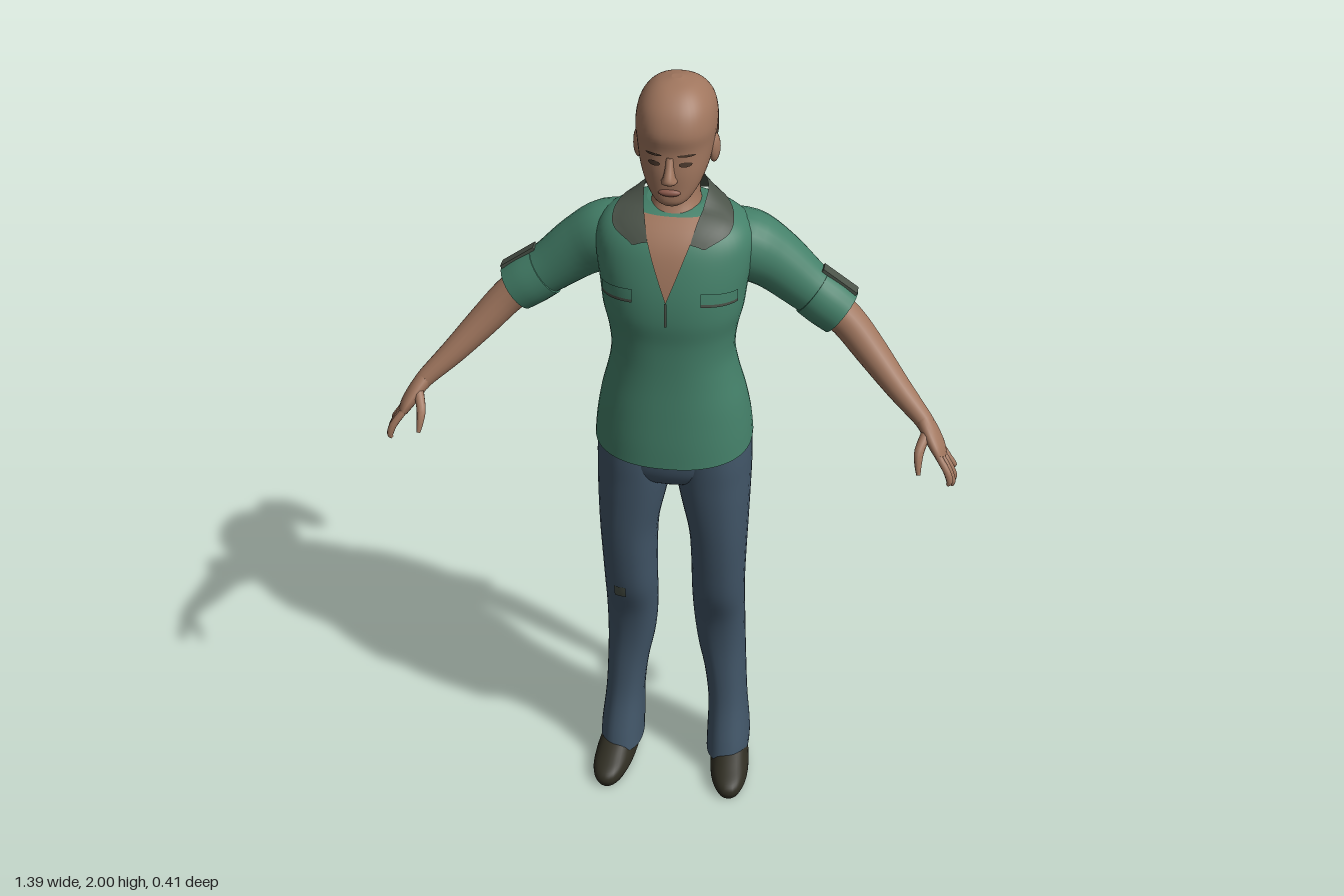
import * as THREE from 'three';

const N = 2.3; // roundness of the body cross-sections
const mat = (name, color, side = THREE.FrontSide) => {
  const m = new THREE.MeshStandardMaterial({ color, side });
  m.name = name;
  return m;
};

// Catmull-Rom smoothing of key rows, k steps per span
function sample(rows, k = 5) {
  const out = [];
  const at = i => rows[Math.min(Math.max(i, 0), rows.length - 1)];
  for (let i = 0; i < rows.length - 1; i++)
    for (let j = 0; j < k; j++) {
      const t = j / k, [p, a, b, q] = [at(i - 1), at(i), at(i + 1), at(i + 2)];
      out.push(a.map((_, c) => a[c] + 0.5 * t * (b[c] - p[c] + t * (2 * p[c] - 5 * a[c] + 4 * b[c] - q[c]
        + t * (3 * (a[c] - b[c]) + q[c] - p[c])))));
    }
  out.push(rows[rows.length - 1].slice());
  return out;
}

// Skin closed rings of Vector3 with smooth sides and flat ends
function skin(rings) {
  const n = rings[0].length, pos = [], idx = [];
  const put = p => pos.push(p.x, p.y, p.z) / 3 - 1;
  rings.forEach(r => r.forEach(put));
  for (let i = 0; i < rings.length - 1; i++)
    for (let j = 0; j < n; j++) {
      const a = i * n + j, b = i * n + (j + 1) % n;
      idx.push(a, b, b + n, a, b + n, a + n);
    }
  [[rings[0], true], [rings[rings.length - 1], false]].forEach(([r, flip]) => {
    const mid = put(r.reduce((s, p) => s.add(p), new THREE.Vector3()).divideScalar(n));
    const first = pos.length / 3;
    r.forEach(put);
    for (let j = 0; j < n; j++) {
      const a = first + j, b = first + (j + 1) % n;
      idx.push(mid, flip ? b : a, flip ? a : b);
    }
  });
  return geometry(pos, idx);
}

function geometry(pos, idx) {
  const g = new THREE.BufferGeometry();
  g.setAttribute('position', new THREE.Float32BufferAttribute(pos, 3));
  g.setIndex(idx);
  g.computeVertexNormals();
  return g;
}

// Upright loft, rows: [x, y, back z, front z, half width, tilt]
function upright(secs, seg = 32) {
  const pw = v => Math.sign(v) * Math.abs(v) ** (2 / N);
  return skin(secs.map(([x, y, b, f, rx, tilt = 0]) => Array.from({ length: seg }, (_, j) => {
    const a = j / seg * Math.PI * 2, z = (f + b) / 2 + (f - b) / 2 * pw(Math.cos(a));
    return new THREE.Vector3(x + rx * pw(Math.sin(a)), y - tilt * z, z);
  })));
}

// Loft along a path, rows: [x, y, z, thickness radius, radius along ref]
function limb(rows, seg = 16, k = 4, ref = new THREE.Vector3(0, 0, 1)) {
  const s = sample(rows, k), P = s.map(r => new THREE.Vector3(r[0], r[1], r[2]));
  return skin(s.map((r, i) => {
    const t = P[Math.min(i + 1, P.length - 1)].clone().sub(P[Math.max(i - 1, 0)]).normalize();
    const v = ref.clone().addScaledVector(t, -ref.dot(t)).normalize(), u = v.clone().cross(t);
    return Array.from({ length: seg }, (_, j) => {
      const a = j / seg * Math.PI * 2;
      return P[i].clone().addScaledVector(u, r[3] * Math.cos(a)).addScaledVector(v, r[4] * Math.sin(a));
    });
  }));
}

// Grid surface from fn(u, v) returning [x, y, z], u and v in 0..1
function grid(nu, nv, fn) {
  const pos = [], idx = [];
  for (let j = 0; j <= nv; j++) for (let i = 0; i <= nu; i++) pos.push(...fn(i / nu, j / nv));
  for (let j = 0; j < nv; j++) for (let i = 0; i < nu; i++) {
    const a = j * (nu + 1) + i, c = a + nu + 1;
    idx.push(a, a + 1, c + 1, a, c + 1, c);
  }
  return geometry(pos, idx);
}

// Front depth of an upright loft at x, y
function frontZ(secs, x, y) {
  let i = 0;
  while (i < secs.length - 2 && secs[i + 1][1] < y) i++;
  const A = secs[i], B = secs[i + 1], t = THREE.MathUtils.clamp((y - A[1]) / (B[1] - A[1]), 0, 1);
  const [cx, , b, f, rx] = A.map((a, c) => a + (B[c] - a) * t);
  return (f + b) / 2 + (f - b) / 2 * Math.max(0, 1 - Math.abs((x - cx) / rx) ** N) ** (1 / N);
}

// Top height of an upright loft at x, z
function topY(secs, x, z) {
  const fill = ([cx, , b, f, rx]) => Math.abs((x - cx) / rx) ** N + Math.abs((z - (f + b) / 2) / ((f - b) / 2)) ** N;
  for (let i = secs.length - 1; i > 0; i--) {
    const f = fill(secs[i]), g = fill(secs[i - 1]);
    if (f <= 1) return secs[i][1];
    if (g <= 1) return secs[i][1] + (secs[i - 1][1] - secs[i][1]) * (f - 1) / (f - g);
  }
  return 0;
}

// Thin painted plate lying on the front of a loft
const plate = (secs, shape, lift = 0.004, nu = 10, nv = 6) => grid(nu, nv, (u, v) => {
  const [x, y] = shape(u, v);
  return [x, y, frontZ(secs, x, y) + lift];
});
const oval = (cx, cy, w, h) => (u, v) => {
  const a = u * 2 - 1;
  return [cx + a * w, cy + (v * 2 - 1) * h * Math.sqrt(1 - a * a)];
};

export function createModel() {
  const model = new THREE.Group();
  model.name = 'standingWoman';
  const skinM = mat('skin', 0xa0765e), shirtM = mat('shirtGreen', 0x448069), trimM = mat('collarGrey', 0x4b5349, THREE.DoubleSide);
  const jeansM = mat('denim', 0x415567), shoeM = mat('shoeBrown', 0x2f2d22), hairM = mat('hair', 0x8f6850);
  const darkM = mat('darkHair', 0x4a382c), bandM = mat('hairBand', 0x2b2f29), lipM = mat('lips', 0x8c5a4c);
  const add = (name, geo, m) => {
    const mesh = new THREE.Mesh(geo, m);
    mesh.name = name;
    model.add(mesh);
    return mesh;
  };

  // Shirt body
  const torso = sample([
    [0, 1.075, -.112, .2, .193, .1], [0, 1.13, -.105, .197, .188, .08], [0, 1.2, -.085, .19, .176, .03],
    [0, 1.27, -.068, .183, .158, 0], [0, 1.33, -.06, .18, .148, 0], [0, 1.39, -.065, .18, .153, 0],
    [0, 1.45, -.078, .185, .167, 0], [0, 1.51, -.09, .18, .175, 0], [0, 1.57, -.1, .165, .185, 0],
    [0, 1.62, -.1, .145, .185, 0], [0, 1.655, -.09, .12, .165, 0], [0, 1.68, -.075, .09, .12, 0],
    [0, 1.695, -.06, .06, .07, 0]]);
  add('shirt', upright(torso, 48), shirtM);
  add('openNeck', plate(torso, (u, v) => [(u * 2 - 1) * .066 * v, 1.51 + .175 * v], .005, 10, 16), skinM);
  add('placketSlit', plate(torso, (u, v) => [(u - .5) * .006, 1.45 + .06 * v]), trimM);

  // Folded collar wrapping the neck
  const half = [[0, 1.74, -.06, 0, -.088], [.05, 1.74, -.045, .075, -.07], [.073, 1.728, 0, .118, -.01],
    [.07, 1.7, .055, .14, .05], [.06, 1.655, .1, .135, .095], [.05, 1.62, .135, .085, .135]];
  const strip = [...half.slice(1).reverse().map(([a, b, c, d, e]) => [-a, b, c, -d, e]), ...half];
  const inner = new THREE.CatmullRomCurve3(strip.map(r => new THREE.Vector3(r[0], r[1], r[2])));
  const outer = new THREE.CatmullRomCurve3(strip.map(r => new THREE.Vector3(r[3], topY(torso, r[3], r[4]) + .012, r[4])));
  add('collar', grid(48, 8, (u, v) => {
    const p = inner.getPoint(u).lerp(outer.getPoint(u), v);
    return [p.x, Math.max(p.y, topY(torso, p.x, p.z) + .009), p.z];
  }), trimM);

  // Neck and head
  add('neck', upright(sample([[0, 1.62, -.05, .1, .07], [0, 1.67, -.055, .085, .064], [0, 1.72, -.053, .06, .054],
    [0, 1.8, -.065, .05, .056]])), skinM);
  const head = sample([[0, 1.727, .055, .112, .024], [0, 1.74, .025, .122, .043], [0, 1.77, -.02, .122, .064],
    [0, 1.81, -.075, .122, .08], [0, 1.86, -.11, .117, .09], [0, 1.9, -.117, .12, .093], [0, 1.94, -.107, .106, .087],
    [0, 1.97, -.083, .082, .07], [0, 1.99, -.05, .052, .045], [0, 2, -.01, .015, .012]]);
  add('head', upright(head, 40), skinM);
  add('nose', upright(sample([[0, 1.786, .1, .124, .012], [0, 1.796, .1, .145, .019], [0, 1.808, .1, .147, .014],
    [0, 1.83, .1, .133, .01], [0, 1.852, .1, .12, .009]], 3), 16), skinM);
  add('lips', new THREE.SphereGeometry(1, 16, 10), lipM).scale.set(.026, .009, .01);
  model.getObjectByName('lips').position.set(0, 1.766, .12);

  // Hips
  add('hips', upright(sample([[0, .945, -.03, .08, .03], [0, .965, -.07, .135, .12], [0, 1, -.092, .158, .184],
    [0, 1.05, -.097, .165, .19], [0, 1.1, -.09, .165, .182]])), jeansM);

  for (const s of [1, -1]) {
    const side = s > 0 ? 'left' : 'right';
    const m = rows => rows.map(([x, ...r]) => [x * s, ...r]);

    // Face details and ear
    add(side + 'Eye', plate(head, oval(s * .036, 1.837, .015, .006), .003), darkM);
    add(side + 'Brow', plate(head, oval(s * .038, 1.858, .021, .003), .003), darkM);
    const ear = add(side + 'Ear', new THREE.SphereGeometry(1, 12, 10), skinM);
    ear.scale.set(.012, .036, .021);
    ear.position.set(s * .088, 1.833, .012);
    ear.rotation.y = -s * .3;

    // Pocket flap with dark lower edge
    const flap = (y0, y1) => (u, v) => {
      const x = s * .12 + (u - .5) * .08;
      return [x, y0 + (y1 - y0) * v - (Math.abs(x) - .12) * .12];
    };
    add(side + 'PocketFlap', plate(torso, flap(1.503, 1.53), .005), shirtM);
    add(side + 'PocketEdge', plate(torso, flap(1.498, 1.505), .006), trimM);

    // Sleeve, rolled cuff and tab
    add(side + 'Sleeve', limb(m([[.08, 1.6, -.01, .06, .085], [.16, 1.573, -.015, .085, .085], [.23, 1.533, -.02, .075, .072],
      [.31, 1.47, -.015, .063, .058], [.385, 1.417, -.01, .056, .054]]), 24), shirtM);
    add(side + 'Cuff', limb(m([[.322, 1.46, -.013, .064, .06], [.358, 1.435, -.011, .065, .062], [.393, 1.41, -.009, .062, .06]]), 24), shirtM);
    const tab = add(side + 'SleeveTab', new THREE.BoxGeometry(.1, .008, .03), trimM);
    tab.position.set(s * .386, 1.495, -.012);
    tab.rotation.z = -s * .62;

    // Forearm, palm, fingers and thumb
    add(side + 'Forearm', limb(m([[.35, 1.44, -.01, .045, .045], [.41, 1.39, 0, .043, .043], [.47, 1.327, .025, .039, .04],
      [.54, 1.257, .065, .031, .032], [.6, 1.203, .1, .023, .024], [.615, 1.185, .108, .021, .026]])), skinM);
    add(side + 'Palm', limb(m([[.605, 1.2, .102, .02, .024], [.625, 1.173, .116, .02, .034], [.645, 1.143, .132, .017, .039],
      [.656, 1.122, .142, .012, .036]])), skinM);
    [[.172, .675, 1.072, .188], [.152, .686, 1.057, .166], [.132, .69, 1.058, .143], [.113, .686, 1.08, .118]].forEach(([z, x, y, tz], i) =>
      add(side + 'Finger' + (i + 1), limb(m([[.65, 1.135, z - .006, .009, .009], [.672, 1.105, (z + tz) / 2, .009, .009],
        [(x + .686) / 2, (y + 1.09) / 2, tz - .002, .008, .008], [x, y, tz, .004, .004]]), 8, 3), skinM));
    add(side + 'Thumb', limb(m([[.618, 1.18, .128, .013, .013], [.604, 1.15, .165, .012, .011], [.603, 1.125, .185, .009, .009],
      [.606, 1.1, .197, .005, .005]]), 8, 3), skinM);

    // Trouser leg
    const leg = sample(m([[.143, .055, -.063, .12, .056], [.143, .1, -.068, .108, .056], [.138, .2, -.07, .08, .051],
      [.13, .3, -.07, .07, .054], [.119, .4, -.064, .07, .062], [.114, .5, -.05, .085, .066], [.113, .6, -.041, .118, .067],
      [.114, .7, -.042, .136, .069], [.113, .8, -.047, .148, .074], [.104, .9, -.065, .156, .086],
      [.098, .97, -.088, .16, .093], [.097, 1.03, -.096, .163, .093], [.095, 1.1, -.09, .163, .088]]));
    add(side + 'Leg', upright(leg), jeansM);
    if (s < 0) add('kneePatch', plate(leg, (u, v) => [-.13 + (u - .5) * .03, .585 + .036 * v], .003), trimM);

    // Shoe, toe turned slightly outward
    const shoe = add(side + 'Shoe', upright(sample([[0, 0, -.055, .2, .043], [0, .02, -.06, .208, .051], [0, .04, -.06, .195, .05],
      [0, .06, -.057, .15, .046], [0, .085, -.05, .09, .04]])), shoeM);
    shoe.position.x = s * .146;
    shoe.rotation.y = s * .1;
  }

  // Ponytail: core, fanned strands and band
  const xAxis = new THREE.Vector3(1, 0, 0);
  add('ponytailCore', limb([[0, 1.9, -.11, .02, .02], [0, 1.895, -.145, .024, .035], [0, 1.855, -.17, .028, .05],
    [0, 1.79, -.174, .026, .054], [0, 1.73, -.168, .02, .046], [0, 1.69, -.158, .008, .03]], 16, 4, xAxis), hairM);
  for (let i = 0; i < 11; i++) {
    const a = i / 5 - 1, x = a * .058, z = .022 * (1 - a * a), low = 1.685 + .02 * ((i * 7) % 4);
    add('ponytailStrand', limb([[x * .3, 1.905, -.12, .008, .008], [x * .6, 1.9 + z * .3, -.152 - z * .5, .011, .011],
      [x, 1.86, -.172 - z, .011, .011], [x * 1.08, 1.79, -.172 - z, .011, .011], [x, low + .04, -.166 - z, .009, .009],
      [x * .85, low, -.156 - z * .5, .003, .003]], 8, 4, xAxis), i % 4 === 2 ? darkM : hairM);
  }
  const band = add('hairBand', new THREE.TorusGeometry(.024, .013, 10, 24), bandM);
  band.position.set(0, 1.902, -.122);
  band.rotation.x = .15;
  return model;
}
